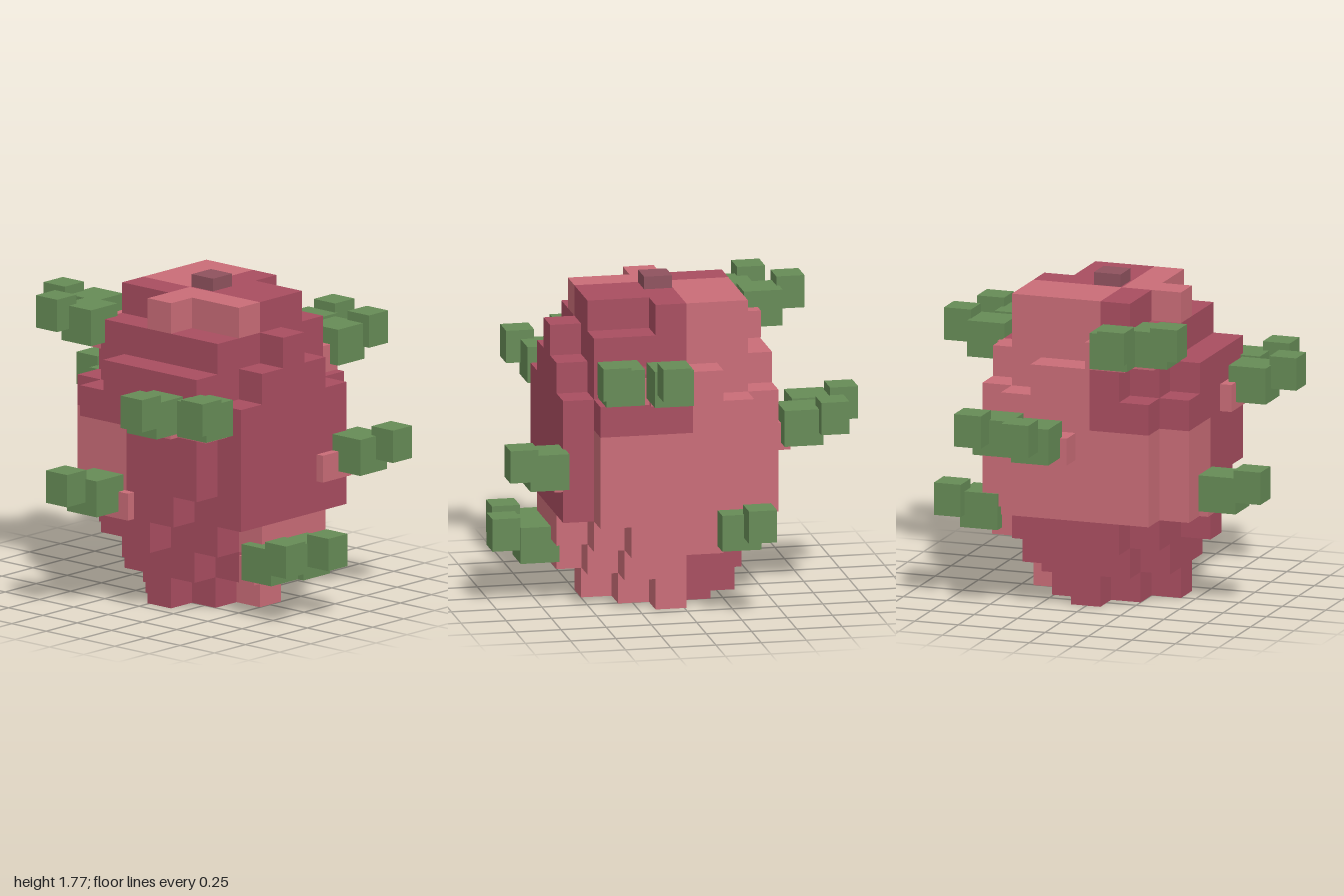
import * as THREE from 'three';
import { mergeGeometries } from 'three/addons/utils/BufferGeometryUtils.js';

const U = 0.17, X0 = -0.52, Z0 = 0.59; // voxel edge, left edge, front edge

// Body rows from bottom to top; each lists the first and last column of every
// slice from front to back ('' = empty slice)
const DISC = ['15', '06', '06', '06', '06', '06', '15'];
const ROWS = [
  ['', '33', '24', '15', '24', '33', ''],
  ['', '24', '15', '15', '15', '24', ''],
  ['33', '15', '06', '06', '06', '15', '24'],
  ['14', '06', '06', '06', '06', '06', '15'],
  DISC, DISC, DISC,
  ['25', '15', '06', '06', '06', '15', '24'],
  ['', '15', '15', '16', '15', '15', ''],
  ['', '33', '15', '15', '15', '13', ''],
];

// Blocks of 3x3x3 voxels (column, row, slice) with the pale skin
const PALE = new Set([
  '200', '201', '101', '102', '002', '112', '012', '010', '011',
  '021', '022', '031', '130',
]);

// Scales: [row, base x, z, large leaf x, z, small leaf x, z]
const SCALES = [
  [7, 0.115, -0.525, 0.14, -0.72, 0.155, -0.9],
  [2, -0.18, -0.45, -0.255, -0.615, -0.345, -0.775],
  [7, 0.33, -0.49, 0.395, -0.655, 0.47, -0.825],
  [5, -0.475, -0.3, -0.645, -0.4, -0.805, -0.49],
  [5, -0.545, -0.115, -0.74, -0.145, -0.92, -0.175],
  [4, 0.6, -0.305, 0.765, -0.425, 0.92, -0.52],
  [1, 0.525, 0.005, 0.73, -0.005, 0.91, -0.01],
  [1, 0.495, 0.135, 0.69, 0.21, 0.855, 0.27],
  [8, -0.41, 0.17, -0.555, 0.24, -0.725, 0.305],
  [8, -0.31, 0.3, -0.43, 0.425, -0.56, 0.55],
  [6, 0.455, 0.48, 0.565, 0.595, 0.675, 0.745],
  [3, -0.07, 0.525, -0.13, 0.71, -0.18, 0.89],
  [6, 0.255, 0.54, 0.315, 0.72, 0.37, 0.895],
];

const box = (w, h, d, x, y, z) => new THREE.BoxGeometry(w, h, d).translate(x, y, z);

export function createModel() {
  const model = new THREE.Group();
  model.name = 'spikyFruit';

  const material = (name, color) => {
    const m = new THREE.MeshStandardMaterial({ color });
    m.name = name;
    return m;
  };
  const darkSkin = material('darkSkin', 0xa84d60);
  const paleSkin = material('paleSkin', 0xc96c77);
  const leafGreen = material('leafGreen', 0x668b56);
  const stalkBrown = material('stalkBrown', 0x8f525e);

  const add = (parent, name, geometry, mat) => {
    const mesh = new THREE.Mesh(geometry, mat);
    mesh.name = name;
    parent.add(mesh);
  };

  // Body: each span of voxels is cut where the colour blocks meet
  const dark = [], pale = [];
  ROWS.forEach((slices, row) => slices.forEach((span, slice) => {
    if (!span) return;
    const first = +span[0], last = +span[1];
    for (let block = 0; block < 3; block++) {
      const a = Math.max(first, block * 3), b = Math.min(last, block * 3 + 2);
      if (a > b) continue;
      const key = `${block}${Math.floor(row / 3)}${Math.floor(slice / 3)}`;
      (PALE.has(key) ? pale : dark).push(box((b - a + 1) * U, U, U,
        X0 + ((a + b + 1) / 2) * U, (row + 0.5) * U, Z0 - (slice + 0.5) * U));
    }
  }));
  add(model, 'darkBody', mergeGeometries(dark), darkSkin);
  add(model, 'paleBody', mergeGeometries(pale), paleSkin);

  // Stalk on top
  add(model, 'stalk', box(0.155, 0.07, 0.155, 0.072, 1.735, -0.007), stalkBrown);

  // Scales: pale base with two green tips stepping outward and up
  SCALES.forEach(([row, bx, bz, lx, lz, sx, sz], n) => {
    const scale = new THREE.Group();
    scale.name = `scale${n + 1}`;
    const y = row * U;
    add(scale, 'scaleBase', box(0.23, 0.15, 0.23, bx, y + 0.075, bz), paleSkin);
    add(scale, 'largeTip', box(0.215, 0.2, 0.215, lx, y + 0.14, lz), leafGreen);
    add(scale, 'smallTip', box(0.155, 0.18, 0.155, sx, y + 0.2, sz), leafGreen);
    model.add(scale);
  });

  return model;
}
